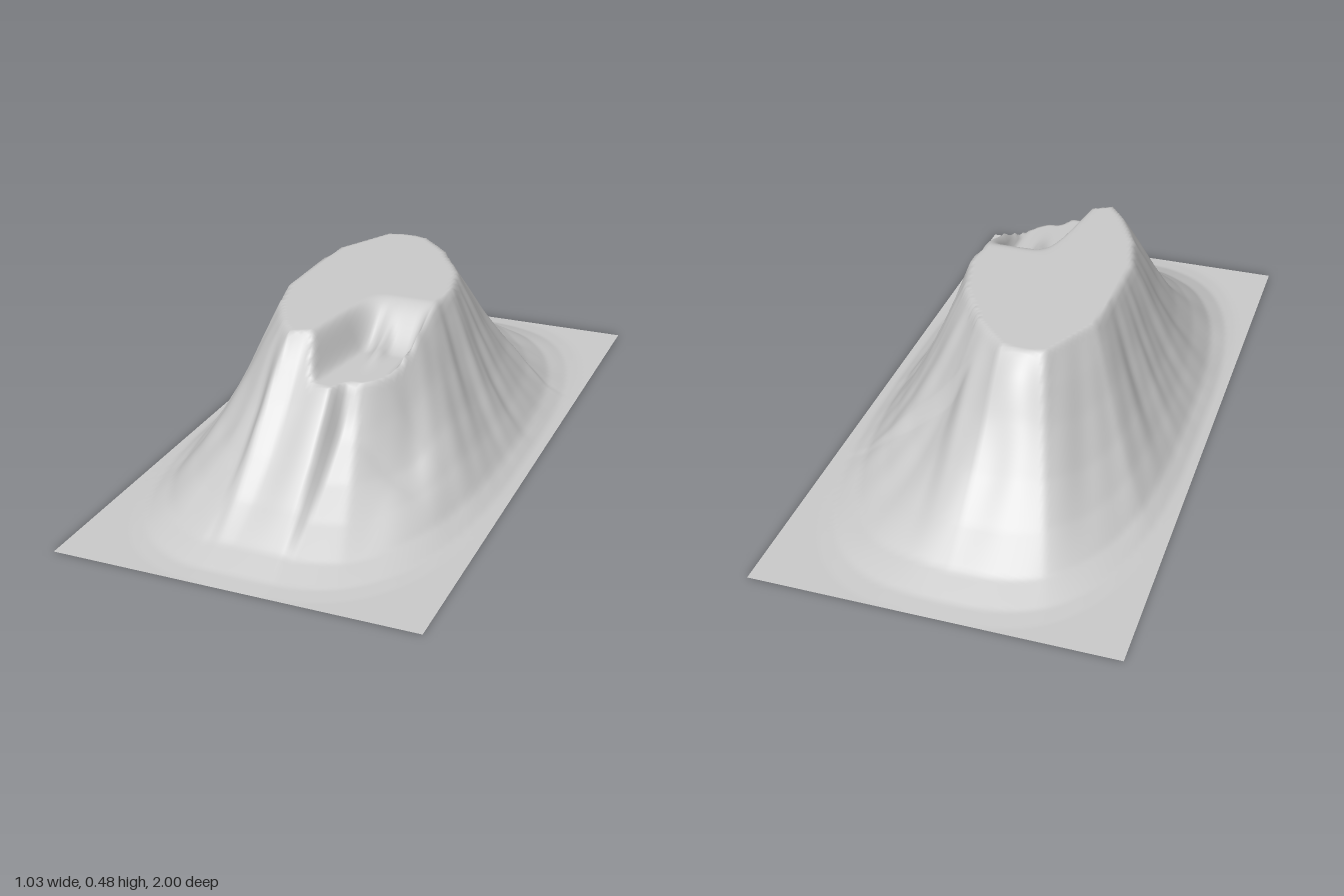
import * as THREE from 'three';

const HALF_X = 0.515, HALF_Z = 1, TOP = 0.48;

// Plan outline (x, z) of the summit, including the sunken bench at the front
const RIM = [
  [-0.13, -0.42], [0, -0.42], [0.1, -0.32], [0.19, -0.17], [0.23, -0.02], [0.22, 0.14],
  [0.19, 0.27], [0.12, 0.43], [0.06, 0.44], [-0.03, 0.42], [-0.08, 0.45], [-0.13, 0.38],
  [-0.2, 0.25], [-0.235, 0.1], [-0.23, -0.1], [-0.22, -0.24],
];

// Height fraction along the slope, from rim (0) to foot (1)
const SLOPE = [[0, 1], [0.12, 0.83], [0.23, 0.66], [0.4, 0.43], [0.57, 0.24], [0.75, 0.08], [0.9, 0.012], [1, 0]];

// Erosion channels: angle from +x towards +z, angular width, depth
const GULLIES = [
  [-2.15, 0.16, 0.03], [-1.15, 0.2, 0.05], [-0.75, 0.1, 0.025], [-0.2, 0.16, 0.015],
  [0.3, 0.13, 0.02], [2.3, 0.13, 0.025], [2.9, 0.15, 0.015], [-2.7, 0.12, 0.015],
];

const step = (a, b, v) => THREE.MathUtils.smoothstep(v, a, b);
const bell = (v, w) => Math.exp(-((v / w) ** 2));

// Distance from the centre to the summit rim along a direction
function rimRadius(dx, dz) {
  for (let i = 0; i < RIM.length; i++) {
    const [ax, az] = RIM[i], [bx, bz] = RIM[(i + 1) % RIM.length];
    const ex = bx - ax, ez = bz - az;
    const det = dx * ez - dz * ex;
    if (Math.abs(det) < 1e-9) continue;
    const r = (ax * ez - az * ex) / det;
    const u = (ax * dz - az * dx) / det;
    if (r > 0 && u >= -1e-6 && u <= 1 + 1e-6) return r;
  }
  return 0.25;
}

function slopeHeight(t) {
  if (t <= 0) return 1;
  for (let i = 1; i < SLOPE.length; i++) {
    const [t0, h0] = SLOPE[i - 1], [t1, h1] = SLOPE[i];
    if (t <= t1) return h0 + (h1 - h0) * (t - t0) / (t1 - t0);
  }
  return 0;
}

function heightAt(x, z) {
  const r = Math.hypot(x, z);
  if (r < 1e-6) return TOP;
  const dx = x / r, dz = z / r, angle = Math.atan2(z, x);
  const inner = rimRadius(dx, dz);
  const outer = (Math.abs(dx / HALF_X) ** 3 + Math.abs(dz / HALF_Z) ** 3) ** (-1 / 3);
  const t = (r - inner) / (outer - inner);
  let h = TOP * slopeHeight(t);

  if (t > 0 && t < 1) {
    // Channels and fine ribs running down the flanks
    const mid = Math.sin(Math.PI * Math.min(1, t * 1.05 + 0.04)) * (1 - t);
    for (const [a, w, d] of GULLIES) {
      const da = Math.atan2(Math.sin(angle - a), Math.cos(angle - a));
      h -= 1.4 * d * bell(da, w) * mid;
    }
    h += mid * (0.006 * Math.sin(angle * 17 + t * 3) + 0.004 * Math.sin(angle * 31 + 1 - t * 5));
    // Front spur with a sharp drop on both sides
    const front = step(0.4, 0.55, z);
    h *= 1 - 0.24 * front * step(0.075, 0.11, x) * (1 - step(0.25, 0.4, x));
    h *= 1 - 0.14 * front * step(0.1, 0.14, -x) * (1 - step(0.2, 0.35, -x));
    // Hollow and ledge low on the front left flank
    h -= 0.05 * bell(x - 0.26, 0.07) * bell(z - 0.43, 0.1);
    // Shoulder at the back, dropping off on one side
    h += 0.03 * bell(x + 0.06, 0.06) * bell(z + 0.5, 0.08);
    h *= 1 - 0.12 * step(0.41, 0.44, -z) * step(0.08, 0.14, x) * (1 - step(0.6, 0.85, -z));
  }

  // Sunken bench cut into the summit
  const left = 0.03 - 0.15 * (z - 0.1);
  const cut = step(0.09, 0.27, z) * step(left - 0.01, left + 0.06, x) * (1 - step(0.19, 0.24, x));
  const ridge = 0.025 * bell(x - 0.11 - 0.1 * (z - 0.25), 0.018) * bell(z - 0.24, 0.09);
  const cap = TOP - cut * (0.11 - ridge);
  return Math.max(0, Math.min(h, cap, TOP));
}

export function createModel() {
  const group = new THREE.Group();
  group.name = 'flatToppedMountain';

  // Open terrain sheet raised by the height rule
  const geometry = new THREE.PlaneGeometry(HALF_X * 2, HALF_Z * 2, 104, 200);
  geometry.rotateX(-Math.PI / 2);
  const p = geometry.attributes.position;
  for (let i = 0; i < p.count; i++) p.setY(i, heightAt(p.getX(i), p.getZ(i)));
  geometry.computeVertexNormals();

  const material = new THREE.MeshStandardMaterial({ color: 0xcccccc, side: THREE.DoubleSide });
  const terrain = new THREE.Mesh(geometry, material);
  terrain.name = 'terrain';
  group.add(terrain);
  return group;
}
